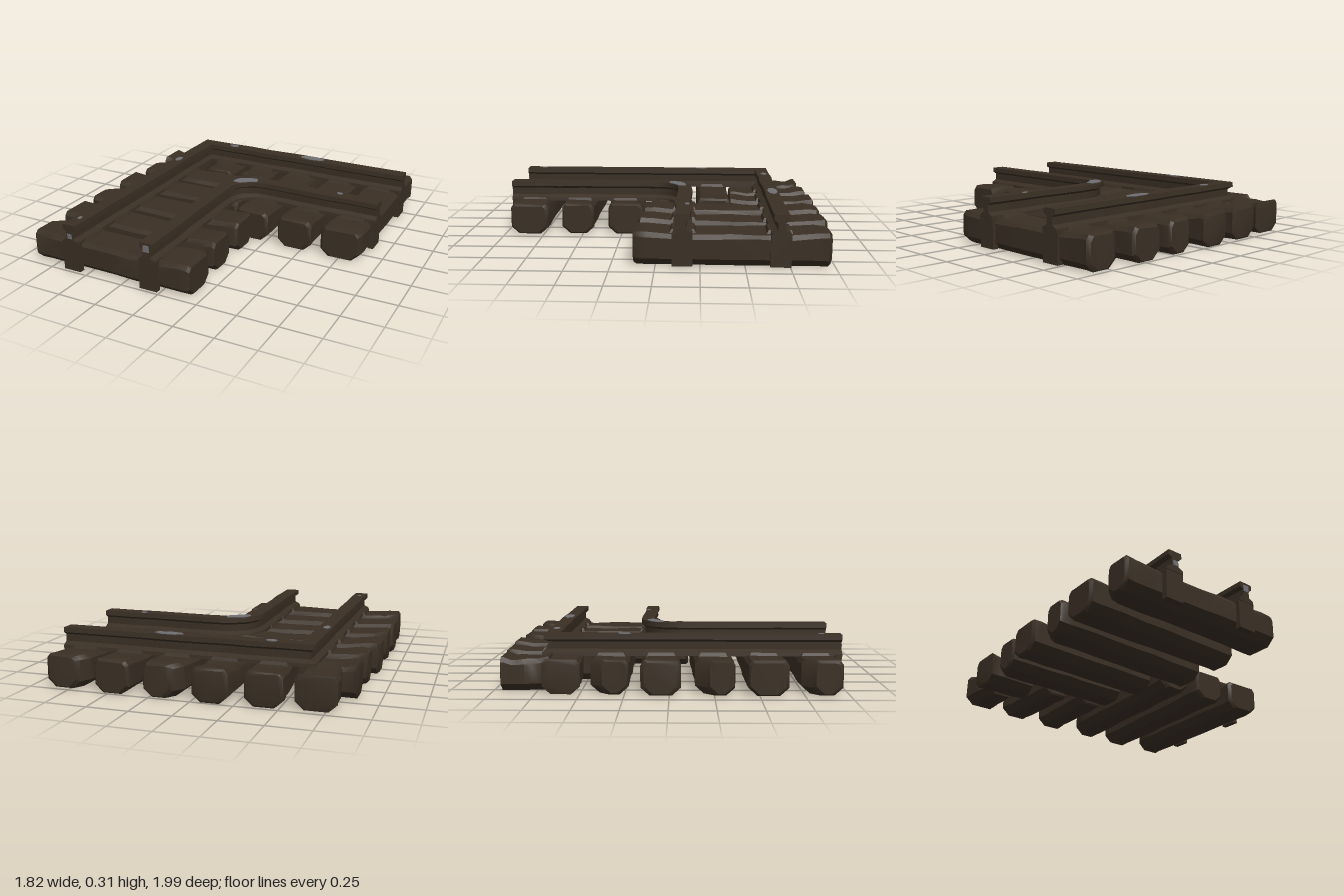
import * as THREE from 'three';
import { toCreasedNormals } from 'three/addons/utils/BufferGeometryUtils.js';

const oldWood = new THREE.MeshStandardMaterial({ name: 'dark aged brown', color: 0x3a2f24 });
const bareSteel = new THREE.MeshStandardMaterial({ name: 'worn grey steel', color: 0x707074 });

// Small seeded jitter in -1..1
let seed = 7;
const jitter = (amount) => {
  seed = (seed * 16807) % 2147483647;
  return (seed / 2147483647 * 2 - 1) * amount;
};

// Skin a row of matching rings and close both ends using the flat profile
function loft(rings, profile, crease) {
  const n = profile.length, pos = rings.flat(), index = [];
  for (let r = 0; r < rings.length - 1; r++) {
    for (let i = 0; i < n; i++) {
      const a = r * n + i, b = r * n + (i + 1) % n;
      index.push([a, b, b + n], [a, b + n, a + n]);
    }
  }
  const last = (rings.length - 1) * n;
  const ccw = !THREE.ShapeUtils.isClockWise(profile);
  for (const [a, b, c] of THREE.ShapeUtils.triangulateShape(profile, [])) {
    const [p, q] = ccw ? [b, c] : [c, b];
    const order = ccw ? [a, q, p] : [a, p, q];
    const [x, y, z] = ccw ? order : [order[0], order[2], order[1]];
    index.push([x, y, z], [x + last, z + last, y + last]);
  }
  // Turn every face outward if the solid came out inside out
  let volume = 0;
  for (const [a, b, c] of index) {
    volume += pos[a].dot(new THREE.Vector3().crossVectors(pos[b], pos[c]));
  }
  const faces = volume < 0 ? index.map(([a, b, c]) => [a, c, b]) : index;
  const geo = new THREE.BufferGeometry().setFromPoints(pos);
  geo.setIndex(faces.flat());
  return toCreasedNormals(geo, crease);
}

// Sleeper: runs along u from u0 to u1, with its two side edges given at each end
function sleeperGeometry({ axis, u: [u0, u1], from, to, cut = 0 }) {
  const profile = [[0, 0.05], [0.05, 0.005], [-0.05, 0.005], [0, 0.05],
    [0, 0.175], [-0.02, 0.2], [0.02, 0.2], [0, 0.175]];
  // Reference profile for a 0.22 wide beam; edge points are inset from side a or b
  const sides = [0, 0, 1, 1, 1, 1, 0, 0];
  const flat = profile.map(([d, y], i) => new THREE.Vector2(sides[i] * 0.22 + d, y));
  const stops = [0, 0.015, 0.07, 0.22, 0.36, 0.5, 0.64, 0.78, 0.93, 0.985, 1];
  const rings = stops.map((t, k) => {
    const end = k === 0 || k === stops.length - 1;
    const inset = end ? 0.014 : 0;
    const corner = k === 0 ? cut : k === 1 ? cut * 0.85 : 0;
    const wob = end ? 0 : 0.006;
    const a = THREE.MathUtils.lerp(from[0], to[0], t) + inset + corner + jitter(wob);
    const b = THREE.MathUtils.lerp(from[1], to[1], t) - inset + jitter(wob);
    const sag = t > 0.2 && t < 0.8 ? 0.012 : 0;
    const u = THREE.MathUtils.lerp(u0, u1, t);
    return profile.map(([d, y], i) => {
      const v = (sides[i] ? b : a) + d;
      const h = y > 0.1 ? y - sag - inset * 0.7 + jitter(0.004) : y + inset * 0.7;
      return axis === 'x' ? new THREE.Vector3(u, h, v) : new THREE.Vector3(v, h, u);
    });
  });
  return loft(rings, flat, 0.6);
}

// Rail: I-shaped profile swept along a plan path with mitred bends
const half = [[0.055, 0.185], [0.053, 0.205], [0.022, 0.222], [0.022, 0.265], [0.045, 0.28], [0.043, 0.31]];
const railProfile = [...half, ...half.slice().reverse().map(([x, y]) => [-x, y])]
  .map(([x, y]) => new THREE.Vector2(x, y));

function railGeometry(corners) {
  const path = [];
  corners.forEach(([x, z], i) => {
    const p = new THREE.Vector2(x, z);
    if (i > 0) {
      const prev = new THREE.Vector2(...corners[i - 1]);
      const steps = Math.max(1, Math.round(prev.distanceTo(p) / 0.17));
      for (let s = 1; s < steps; s++) path.push(prev.clone().lerp(p, s / steps));
    }
    path.push(p);
  });
  const rings = path.map((p, i) => {
    const d0 = p.clone().sub(path[Math.max(i - 1, 0)]).normalize();
    const d1 = path[Math.min(i + 1, path.length - 1)].clone().sub(p).normalize();
    const dir = d0.clone().add(d1).normalize();
    const side = new THREE.Vector2(-dir.y, dir.x);
    const mitre = 1 / Math.max(dir.dot(i ? d0 : d1), 0.5);
    const wob = i && i < path.length - 1 ? jitter(0.005) : 0;
    return railProfile.map(({ x, y }) =>
      new THREE.Vector3(p.x + side.x * (x * mitre + wob), y, p.y + side.y * (x * mitre + wob)));
  });
  return loft(rings, railProfile, 0.55);
}

export function createModel() {
  const model = new THREE.Group();
  model.name = 'trackCorner';
  const add = (name, geo, mat, x = 0, y = 0, z = 0) => {
    const mesh = new THREE.Mesh(geo, mat);
    mesh.name = name;
    mesh.position.set(x, y, z);
    model.add(mesh);
    return mesh;
  };

  // Sleepers under both arms of the corner
  const sleepers = [
    { axis: 'x', u: [-0.87, -0.55], from: [-0.71, -0.5], to: [-0.7, -0.51] },
    { axis: 'x', u: [-0.875, -0.03], from: [-0.44, -0.225], to: [-0.455, -0.24], cut: 0.05 },
    { axis: 'x', u: [-0.905, 0.01], from: [-0.155, 0.06], to: [-0.175, 0.04] },
    { axis: 'x', u: [-0.905, 0.165], from: [0.15, 0.37], to: [0.115, 0.34], cut: 0.06 },
    { axis: 'x', u: [-0.912, 0.165], from: [0.435, 0.66], to: [0.43, 0.64] },
    { axis: 'x', u: [-0.9, 0.185], from: [0.735, 0.96], to: [0.725, 0.968], cut: 0.06 },
    { axis: 'z', u: [-0.955, -0.68], from: [-0.815, -0.585], to: [-0.78, -0.585] },
    { axis: 'z', u: [-0.98, -0.455], from: [-0.525, -0.305], to: [-0.485, -0.28] },
    { axis: 'z', u: [-0.995, -0.445], from: [-0.22, -0.01], to: [-0.225, -0.02] },
    { axis: 'z', u: [-0.99, 0.11], from: [0.065, 0.29], to: [0.04, 0.26], cut: 0.05 },
    { axis: 'z', u: [-0.995, 0.12], from: [0.37, 0.585], to: [0.335, 0.56] },
    { axis: 'z', u: [-0.975, 0.125], from: [0.65, 0.895], to: [0.635, 0.885], cut: 0.05 },
  ];
  sleepers.forEach((s, i) => add(`sleeper${i + 1}`, sleeperGeometry(s), oldWood));

  // Square outer rail and rounded inner rail
  add('outerRail', railGeometry([[-0.6, 0.995], [-0.59, -0.1], [-0.59, -0.69], [0.91, -0.695]]), oldWood);
  add('innerRail', railGeometry([[-0.068, 0.995], [-0.075, 0.05], [-0.068, -0.02], [-0.03, -0.09],
    [0.06, -0.145], [0.2, -0.155], [0.91, -0.15]]), oldWood);

  // End straps closing off each rail
  for (const x of [-0.6, -0.068]) add('frontEndStrap', new THREE.BoxGeometry(0.115, 0.185, 0.035), oldWood, x, 0.105, 0.974);
  for (const z of [-0.695, -0.15]) add('sideEndStrap', new THREE.BoxGeometry(0.035, 0.185, 0.115), oldWood, 0.889, 0.105, z);

  // Low chairs where each rail crosses a sleeper
  const chair = (x, z, w, d) => add('railChair', new THREE.CylinderGeometry(0.6, 0.707, 0.025, 4)
    .rotateY(Math.PI / 4).scale(w, 1, d).toNonIndexed(), oldWood, x, 0.195, z).geometry.computeVertexNormals();
  for (const z of [-0.34, -0.05, 0.25, 0.54, 0.84]) chair(-0.595, z, 0.15, 0.17);
  for (const z of [0.24, 0.54, 0.84]) chair(-0.07, z, 0.15, 0.17);
  for (const x of [-0.41, -0.12, 0.17, 0.47, 0.76]) chair(x, -0.692, 0.17, 0.15);
  for (const x of [0.16, 0.46, 0.76]) chair(x, -0.152, 0.17, 0.15);

  // Bare patches worn into the rail heads and end faces
  const patch = (x, z, rx, rz) => add('wornPatch',
    new THREE.CylinderGeometry(1, 1, 0.005, 7).scale(rx, 1, rz), bareSteel, x, 0.311, z);
  patch(-0.38, -0.695, 0.035, 0.022);
  patch(0.24, -0.7, 0.095, 0.032);
  patch(-0.603, -0.265, 0.022, 0.04);
  patch(0.64, -0.175, 0.022, 0.014);
  patch(-0.603, 0.88, 0.012, 0.02);
  const bend = new THREE.Shape([[-0.06, 0.052], [-0.01, 0.052], [0.03, 0.085], [0.085, 0.118],
    [0.07, 0.16], [0.01, 0.155], [-0.04, 0.125], [-0.062, 0.09]].map((p) => new THREE.Vector2(...p)));
  add('wornBend', new THREE.ExtrudeGeometry(bend, { depth: 0.004, bevelEnabled: false })
    .rotateX(-Math.PI / 2), bareSteel, 0, 0.3095, 0);
  add('wornInnerRailEnd', new THREE.BoxGeometry(0.04, 0.04, 0.004), bareSteel, -0.068, 0.275, 0.996);
  add('wornOuterRailEnd', new THREE.BoxGeometry(0.03, 0.03, 0.004), bareSteel, -0.598, 0.238, 0.996);

  return model;
}
